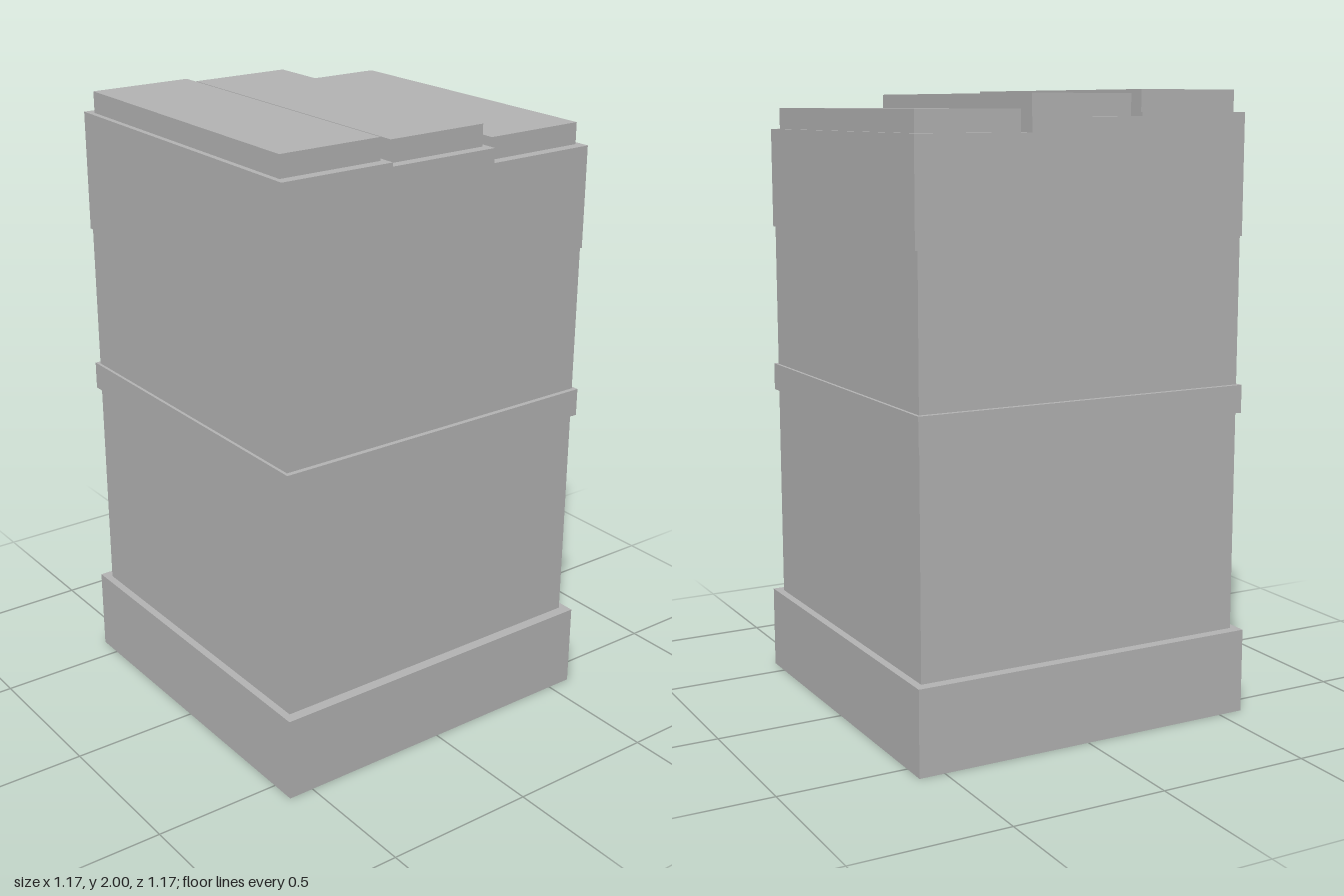
import * as THREE from 'three';

export function createModel() {
  const group = new THREE.Group();
  const grey = new THREE.MeshStandardMaterial({ color: 0xb4b4b4 });
  grey.name = 'grey';

  // Box given by width, depth, bottom, top and x centre
  function block(name, width, depth, bottom, top, x = 0) {
    const mesh = new THREE.Mesh(new THREE.BoxGeometry(width, top - bottom, depth), grey);
    mesh.name = name;
    mesh.position.set(x, (bottom + top) / 2, 0);
    group.add(mesh);
  }

  // Plinth, tower walls and the ledge between storeys
  block('plinth', 1.168, 1.168, 0, 0.275);
  block('lowerStorey', 1.118, 1.098, 0.275, 0.99);
  block('ledge', 1.138, 1.13, 0.99, 1.08);
  block('upperStorey', 1.118, 1.098, 1.08, 1.55);

  // Three crown bays of different heights, each with an inset roof slab
  [['left', 0.378, 1.875], ['middle', 0, 1.92], ['right', -0.378, 1.932]].forEach(([side, x, top]) => {
    block(side + 'Bay', 0.378, 1.098, 1.55, top, x);
    block(side + 'RoofSlab', 0.342, 1.028, top, top + 0.068, x);
  });

  return group;
}
